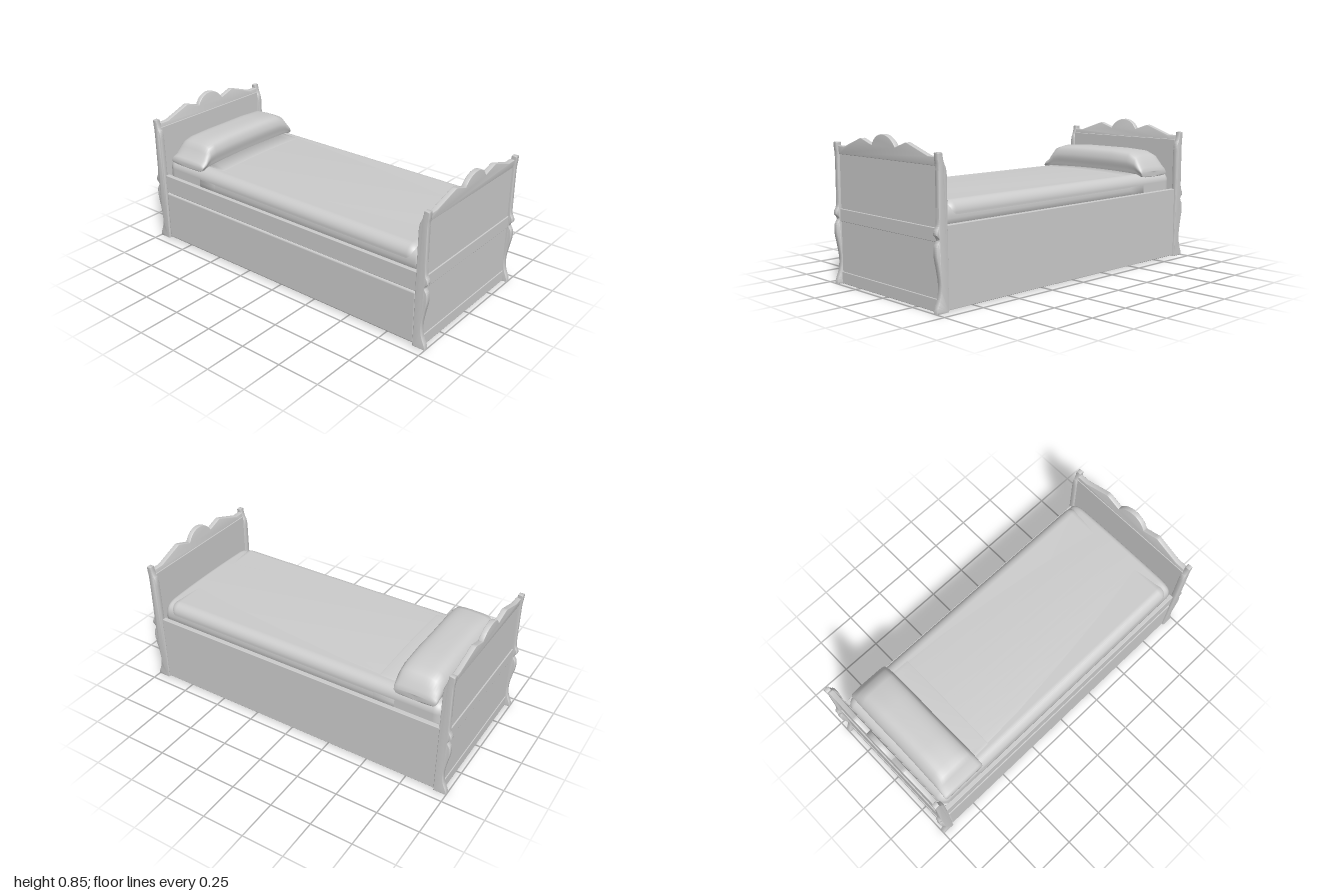
import * as THREE from 'three';
import { toCreasedNormals } from 'three/addons/utils/BufferGeometryUtils.js';
import { RoundedBoxGeometry } from 'three/addons/geometries/RoundedBoxGeometry.js';

const material = new THREE.MeshStandardMaterial({ color: 0xcccccc });

function add(parent, name, geometry) {
  const mesh = new THREE.Mesh(geometry, material);
  mesh.name = name;
  parent.add(mesh);
  return mesh;
}

// Box given by its limits, with softly rounded edges
function block(parent, name, [x0, x1], [y0, y1], [z0, z1], radius = 0.003, segments = 2) {
  const mesh = add(parent, name, new RoundedBoxGeometry(x1 - x0, y1 - y0, z1 - z0, segments, radius));
  mesh.position.set((x0 + x1) / 2, (y0 + y1) / 2, (z0 + z1) / 2);
  return mesh;
}

function extrude(shape, depth, bevel, curveSegments) {
  const geometry = new THREE.ExtrudeGeometry(shape, {
    depth: depth - 2 * bevel, curveSegments, bevelEnabled: true,
    bevelSize: bevel, bevelOffset: -bevel, bevelThickness: bevel, bevelSegments: 3,
  });
  geometry.translate(0, 0, bevel);
  return geometry;
}

// Smooth skin over closed rings of equal length
function loft(rings) {
  const n = rings[0].length;
  const positions = [], index = [];
  rings.forEach((ring, j) => ring.forEach((p, i) => {
    positions.push(...p);
    if (j === rings.length - 1) return;
    const a = j * n + i, b = j * n + (i + 1) % n;
    index.push(a, b, b + n, a, b + n, a + n);
  }));
  const geometry = new THREE.BufferGeometry();
  geometry.setAttribute('position', new THREE.Float32BufferAttribute(positions, 3));
  geometry.setIndex(index);
  geometry.computeVertexNormals();
  return geometry;
}

// Scrolled corner post, outlined in x and y
function postGeometry() {
  const outer = [
    [0.977, 0.08], [0.972, 0.14], [0.982, 0.21], [0.996, 0.28], [0.995, 0.33],
    [0.98, 0.36], [0.984, 0.374], [0.997, 0.39], [0.994, 0.41], [0.982, 0.44], [0.98, 0.52],
    [0.98, 0.7], [0.984, 0.75], [0.986, 0.78],
  ].map(([x, y]) => new THREE.Vector2(x, y));
  const shape = new THREE.Shape();
  shape.moveTo(0.925, 0);
  shape.lineTo(1, 0);
  shape.lineTo(1, 0.015);
  shape.lineTo(0.995, 0.03);
  shape.splineThru(outer);
  shape.lineTo(0.983, 0.786);
  shape.lineTo(0.956, 0.786);
  shape.quadraticCurveTo(0.951, 0.74, 0.938, 0.72);
  shape.quadraticCurveTo(0.929, 0.7, 0.929, 0.66);
  shape.closePath();
  return toCreasedNormals(extrude(shape, 0.03, 0.003, 40), 1);
}

// Crest with a central arch and two peaks, leaning outwards
function crestGeometry() {
  const shape = new THREE.Shape();
  shape.moveTo(-0.418, 0.72);
  shape.lineTo(0.418, 0.72);
  shape.lineTo(0.418, 0.765);
  shape.lineTo(0.36, 0.765);
  shape.lineTo(0.21, 0.816);
  shape.quadraticCurveTo(0.195, 0.823, 0.178, 0.816);
  shape.lineTo(0.1, 0.79);
  const start = Math.atan2(0.053, 0.1);
  shape.absarc(0, 0.737, 0.113, start, Math.PI - start, false);
  shape.lineTo(-0.178, 0.816);
  shape.quadraticCurveTo(-0.195, 0.823, -0.21, 0.816);
  shape.lineTo(-0.36, 0.765);
  shape.lineTo(-0.418, 0.765);
  shape.closePath();
  const geometry = extrude(shape, 0.029, 0.003, 20);
  geometry.rotateY(Math.PI / 2);
  const p = geometry.attributes.position;
  for (let i = 0; i < p.count; i++) p.setX(i, p.getX(i) + 0.942 + (p.getY(i) - 0.72) * 0.1);
  return toCreasedNormals(geometry, 0.6);
}

// Head or foot end, built at +x
function endBoard(name) {
  const end = new THREE.Group();
  end.name = name;
  const post = postGeometry();
  for (const z of [-0.447, 0.417]) add(end, 'post', post).position.z = z;
  const width = [-0.42, 0.42];
  block(end, 'panel', [0.94, 0.966], [0.01, 0.74], width);
  block(end, 'bottomRail', [0.94, 0.971], [0, 0.067], width);
  block(end, 'middleRail', [0.94, 0.973], [0.35, 0.42], width);
  add(end, 'crest', crestGeometry());
  return end;
}

// Cover: gently domed section run along x, sinking towards the foot end
function coverGeometry(x0, x1, lift) {
  const shape = new THREE.Shape();
  shape.moveTo(-0.41, 0.4);
  shape.lineTo(0.41, 0.4);
  shape.lineTo(0.41, 0.455);
  shape.bezierCurveTo(0.41, 0.51, 0.385, 0.535, 0.32, 0.54);
  shape.quadraticCurveTo(0, 0.555, -0.32, 0.54);
  shape.bezierCurveTo(-0.385, 0.535, -0.41, 0.51, -0.41, 0.455);
  const section = shape.getPoints(16);
  // x, inset of the rounded foot edge
  const stations = [
    [x1, 0.09], [x1, 0.03], [x1 - 0.002, 0.018], [x1 - 0.008, 0.008], [x1 - 0.018, 0.002],
    [x1 - 0.03, 0], [x0, 0], [x0, 0.09],
  ];
  return loft(stations.map(([x, inset]) => section.map((p) => {
    const rise = 1.03 + lift - 0.08 * (x + 0.64) / 1.56;
    return [x, 0.45 + (p.y - 0.45) * rise * (1 - inset / 0.1), p.x * (1 + lift / 10 - inset / 0.41)];
  })));
}

// Pillow: one closed outline scaled through stations along z, with low flaps at both ends
function pillowGeometry() {
  const outline = new THREE.CatmullRomCurve3([
    [-0.865, 0], [-0.645, 0], [-0.628, 0.05], [-0.624, 0.1], [-0.65, 0.146],
    [-0.76, 0.157], [-0.848, 0.142], [-0.889, 0.075],
  ].map(([x, y]) => new THREE.Vector3(x, y, 0)), true);
  const ring = outline.getPoints(40).slice(0, 40);
  // z, height scale, width scale
  const stations = [
    [-0.402, 0.15, 0], [-0.405, 0.2, 0.9], [-0.395, 0.35, 0.94], [-0.375, 0.52, 0.95], [-0.345, 0.8, 0.96],
    [-0.29, 0.95, 0.97], [-0.15, 1, 0.98], [0, 1, 0.97], [0.15, 1, 0.98], [0.28, 0.96, 1], [0.325, 0.86, 1],
    [0.35, 0.64, 1.01], [0.37, 0.42, 1.02], [0.395, 0.3, 1.03], [0.405, 0.2, 1], [0.405, 0.1, 0],
  ];
  return loft(stations.map(([z, h, w]) =>
    ring.map((p) => [-0.757 + (p.x + 0.757) * w, 0.525 + p.y * h, z])));
}

export function createModel() {
  const bed = new THREE.Group();
  bed.name = 'bed';

  // Matching ends
  bed.add(endBoard('footboard'));
  const head = endBoard('headboard');
  head.rotation.y = Math.PI;
  bed.add(head);

  // Base and sides
  const length = [-0.926, 0.926];
  block(bed, 'base', [-0.942, 0.942], [0.035, 0.4], [-0.415, 0.415], 0.03, 4);
  block(bed, 'frontRail', length, [0.318, 0.43], [0.405, 0.433]);
  block(bed, 'drawerFront', length, [0.006, 0.315], [0.408, 0.437], 0.012, 4);
  block(bed, 'backPanel', length, [0.006, 0.43], [-0.437, -0.408]);

  // Bedding
  block(bed, 'mattress', [-0.927, 0.9], [0.37, 0.541], [-0.409, 0.409], 0.06, 6);
  add(bed, 'cover', coverGeometry(-0.64, 0.922, 0));
  add(bed, 'foldedSheet', coverGeometry(-0.645, -0.49, 0.01));
  add(bed, 'pillow', pillowGeometry());
  return bed;
}
